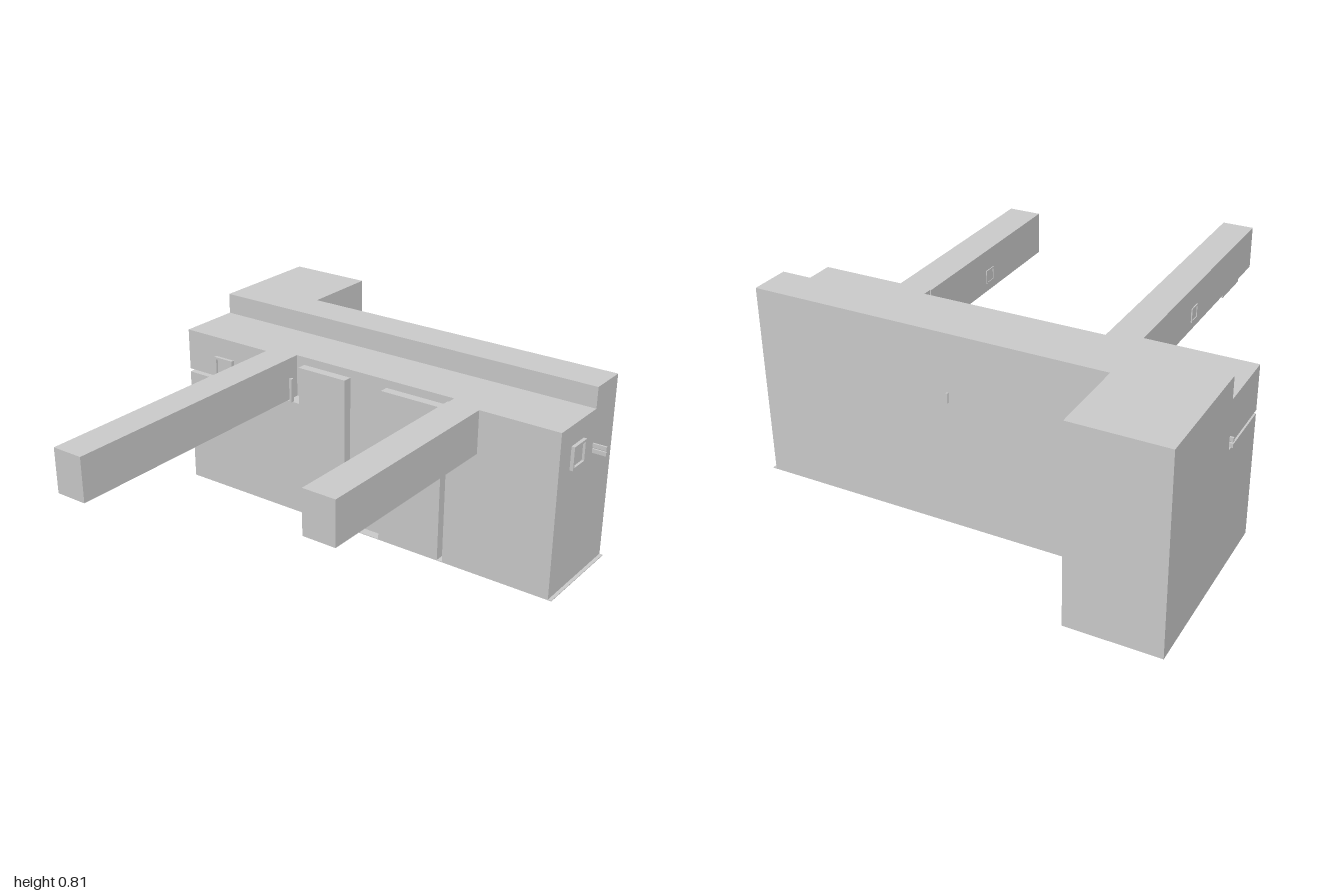
import * as THREE from 'three';

const material = new THREE.MeshStandardMaterial({ color: 0xcccccc, flatShading: true });

// Box given by its limits along each axis
function box(parent, name, [x0, x1], [y0, y1], [z0, z1]) {
  const mesh = new THREE.Mesh(new THREE.BoxGeometry(x1 - x0, y1 - y0, z1 - z0), material);
  mesh.name = name;
  mesh.position.set((x0 + x1) / 2, (y0 + y1) / 2, (z0 + z1) / 2);
  parent.add(mesh);
  return mesh;
}

// Solid from a plan outline of [x, z] points, between two heights
function slab(parent, name, points, y0, y1) {
  const shape = new THREE.Shape(points.map(([x, z]) => new THREE.Vector2(x, -z)));
  const geometry = new THREE.ExtrudeGeometry(shape, { depth: y1 - y0, bevelEnabled: false });
  geometry.rotateX(-Math.PI / 2);
  const mesh = new THREE.Mesh(geometry, material);
  mesh.name = name;
  mesh.position.y = y0;
  parent.add(mesh);
}

// Square open frame with a pane set back inside it, facing +z
function windowFrame(parent, name, size, depth, position, turn = 0) {
  const h = size / 2, t = size * 0.1;
  const group = new THREE.Group();
  group.name = name;
  for (const s of [-1, 1]) {
    const edge = s < 0 ? [-h, -h + t] : [h - t, h];
    box(group, 'frameSide', edge, [-h, h], [0, depth]);
    box(group, 'frameRail', [-h + t, h - t], edge, [0, depth]);
  }
  box(group, 'pane', [-h + t, h - t], [-h + t, h - t], [0, depth * 0.3]);
  group.position.set(...position);
  group.rotation.y = turn;
  parent.add(group);
}

export function createModel() {
  const model = new THREE.Group();
  model.name = 'building';
  const L = -0.95, R = 0.9, F = -0.2, B = -0.65, S = -0.48, N = -0.24;

  // Ground plate, a little wider than the walls
  box(model, 'basePlate', [L, 0.915], [0, 0.003], [B, F]);

  // Lower storey, with an entrance bay and a narrow slit in the front
  slab(model, 'lowerStorey', [
    [L, F], [-0.09, F], [-0.09, N], [0.09, N], [0.09, F], [0.385, F],
    [0.385, N], [0.41, N], [0.41, F], [R, F], [R, S], [L, S],
  ], 0, 0.52);

  // Upper storey, set back between the two arms
  slab(model, 'upperStorey', [
    [L, F], [-0.37, F], [-0.37, N], [0.41, N], [0.41, F], [R, F], [R, S], [L, S],
  ], 0.535, 0.72);

  // Shadow gap on the left-hand wing only; the rest is solid between the storeys
  slab(model, 'middleBand', [
    [-0.35, N], [0.41, N], [0.41, F], [R, F], [R, S], [-0.35, S],
  ], 0.52, 0.535);

  // Raised rear range with its wing to the back
  slab(model, 'rearRange', [
    [L, S], [R, S], [R, B], [-0.575, B], [-0.575, -1], [L, -1],
  ], 0, 0.81);

  // Door panels standing proud of the set-back wall
  box(model, 'doorPanel', [-0.33, -0.09], [0.52, 0.685], [N, F]);
  box(model, 'doorPanel', [0.09, 0.385], [0.52, 0.685], [N, F]);

  // Long and short arms reaching forward
  box(model, 'longArm', [-0.505, -0.37], [0.535, 0.72], [F, 1]);
  box(model, 'shortArm', [0.405, 0.547], [0.535, 0.72], [F, 0.72]);

  // Thin plates under the long arm
  box(model, 'armPlate', [-0.505, -0.43], [0.523, 0.535], [0.66, 0.85]);
  box(model, 'armPlate', [-0.505, -0.43], [0.523, 0.535], [-0.18, 0]);

  // Windows on the front, the side and the arms
  windowFrame(model, 'frontWindow', 0.1, 0.015, [-0.74, 0.582, F]);
  windowFrame(model, 'sideWindow', 0.1, 0.015, [R, 0.582, -0.34], Math.PI / 2);
  windowFrame(model, 'armWindow', 0.06, 0.005, [-0.505, 0.6, 0.315], -Math.PI / 2);
  windowFrame(model, 'armWindow', 0.06, 0.004, [0.405, 0.6, 0.265], -Math.PI / 2);
  box(model, 'cornerPanel', [-0.37, -0.358], [0.525, 0.63], [F, -0.185]);

  // Small brackets at both ends and a tab on the back
  for (const [s, x] of [[-1, L], [1, R]]) {
    const reach = s < 0 ? [x - 0.015, x] : [x, x + 0.06];
    box(model, 'bracketBar', reach, [0.558, 0.575], [S - 0.004, S + 0.004]);
    box(model, 'bracketFoot', reach, [0.535, 0.552], [S - 0.004, S + 0.004]);
  }
  box(model, 'backTab', [0.061, 0.069], [0.53, 0.57], [B - 0.007, B]);

  return model;
}
